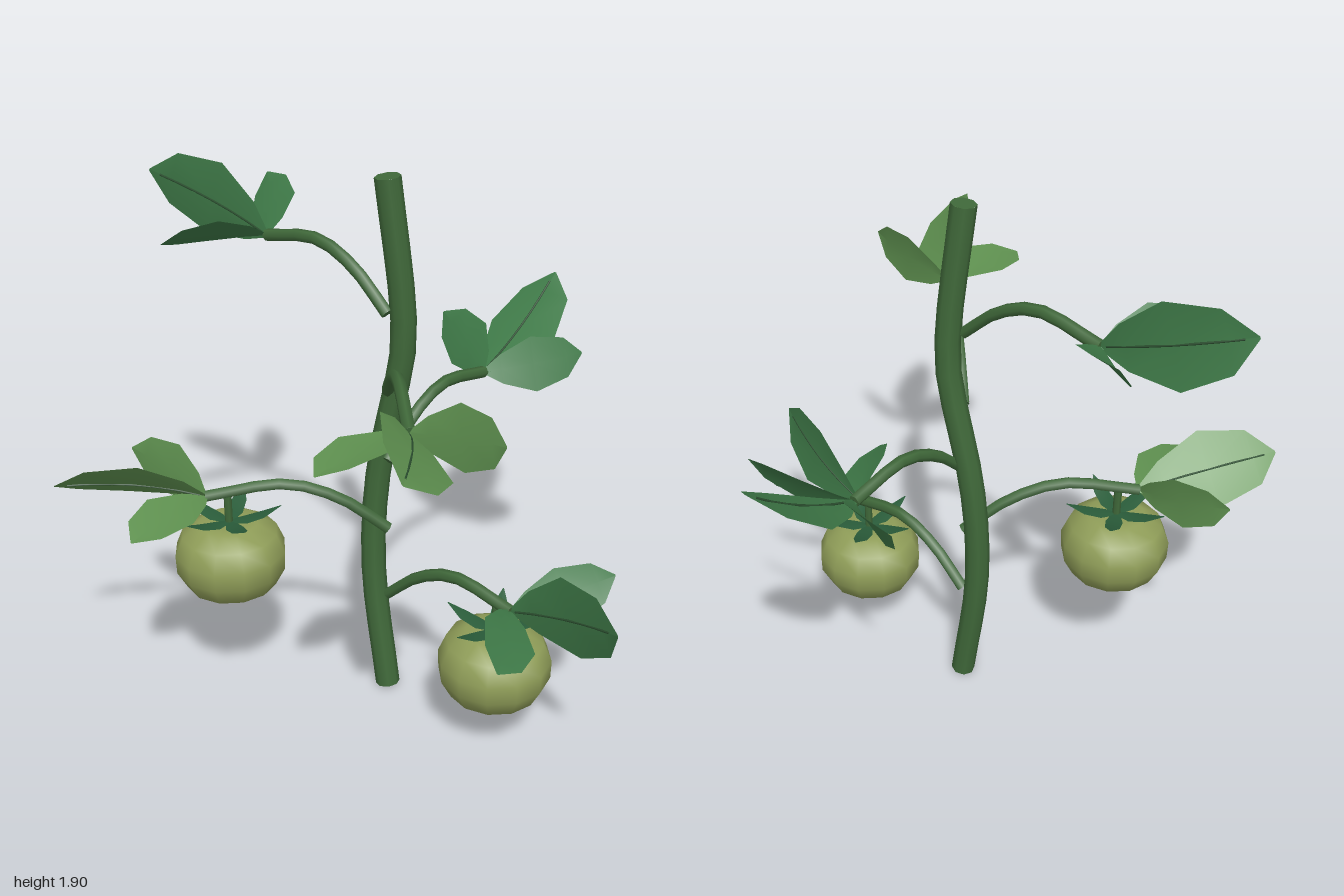
import * as THREE from 'three';

const V = (x, y, z) => new THREE.Vector3(x, y, z);
const UP = V(0, 1, 0);
const paint = (color, side = THREE.FrontSide) => new THREE.MeshStandardMaterial({ color, side });

const stemMat = paint(0x40693a);
const leafDark = paint(0x3f7a48, THREE.DoubleSide);
const leafLight = paint(0x5f9150, THREE.DoubleSide);
const ribMat = paint(0x2c5030);
const sepalMat = paint(0x2a5c3a, THREE.DoubleSide);
const fruitMat = paint(0x8f9d58);

function add(parent, name, geometry, material) {
  const mesh = new THREE.Mesh(geometry, material);
  mesh.name = name;
  parent.add(mesh);
  return mesh;
}

// Round stalk along a smooth path, closed with a disc at each end
function stalk(parent, name, points, radius, segments, sides) {
  const curve = new THREE.CatmullRomCurve3(points);
  add(parent, name, new THREE.TubeGeometry(curve, segments, radius, sides), stemMat);
  for (const t of [0, 1]) {
    const cap = add(parent, name + 'End', new THREE.CircleGeometry(radius, sides), stemMat);
    const out = curve.getTangent(t).multiplyScalar(t ? 1 : -1);
    cap.position.copy(curve.getPoint(t));
    cap.quaternion.setFromUnitVectors(V(0, 0, 1), out);
  }
}

// Blade growing along +y, rows of [y, half width], bent towards +z
function bladeGeometry(rows, bend, fold) {
  const geometry = new THREE.PlaneGeometry(2, 1, 2, rows.length - 1);
  const pos = geometry.attributes.position;
  const length = rows[rows.length - 1][0];
  for (let i = 0; i < pos.count; i++) {
    const [y, half] = rows[rows.length - 1 - Math.floor(i / 3)];
    const side = (i % 3) - 1;
    pos.setXYZ(i, side * half, y, bend * (y / length) ** 2 - Math.abs(side) * half * fold);
  }
  geometry.computeVertexNormals();
  return geometry;
}

const leafGeo = bladeGeometry([[0, 0.012], [0.09, 0.075], [0.25, 0.14], [0.41, 0.1], [0.49, 0.004]], 0.1, 0.12);
const sepalGeo = bladeGeometry([[0, 0.012], [0.06, 0.03], [0.12, 0.026], [0.18, 0.002]], 0.05, 0.1);
const ribGeo = new THREE.TubeGeometry(
  new THREE.QuadraticBezierCurve3(V(0, 0.02, 0.002), V(0, 0.23, 0.005), V(0, 0.45, 0.086)), 6, 0.004, 5);

// Three leaflets fanned out at the end of a branch
function leafCluster(parent, tip, heading, material) {
  const cluster = new THREE.Group();
  cluster.name = 'leafCluster';
  cluster.position.copy(tip);
  for (const [name, yaw, rise, size] of [['middleLeaf', 0, 0.345, 1], ['sideLeaf', 0.93, 0.18, 0.72], ['sideLeaf', -0.93, 0.18, 0.72]]) {
    const dir = heading.clone().applyAxisAngle(UP, yaw).setY(rise).normalize();
    const leaf = add(cluster, name, leafGeo, material);
    leaf.quaternion.setFromUnitVectors(UP, dir);
    leaf.scale.setScalar(size);
    if (!yaw) add(leaf, 'midrib', ribGeo, ribMat);
  }
  parent.add(cluster);
}

// Squat fruit with a star of sepals and a short stalk
function fruit(parent, x, y, z) {
  const group = new THREE.Group();
  group.name = 'fruit';
  group.position.set(x, y, z);
  const profile = [[0, -0.13], [0.09, -0.135], [0.155, -0.1], [0.19, -0.035], [0.192, 0.03],
    [0.165, 0.095], [0.1, 0.133], [0.04, 0.13], [0, 0.12]].map(p => new THREE.Vector2(...p));
  add(group, 'fruitBody', new THREE.LatheGeometry(profile, 12), fruitMat);
  stalk(group, 'fruitStalk', [V(0, 0.11, 0), V(0, 0.18, 0), V(0, 0.255, 0)], 0.014, 3, 6);
  for (let i = 0; i < 5; i++) {
    const pivot = new THREE.Group();
    pivot.name = 'sepalPivot';
    pivot.rotation.y = 0.5 + i * Math.PI * 2 / 5;
    const sepal = add(pivot, 'sepal', sepalGeo, sepalMat);
    sepal.position.y = 0.135;
    sepal.rotation.x = -Math.PI / 2;
    group.add(pivot);
  }
  parent.add(group);
}

export function createModel() {
  const plant = new THREE.Group();
  plant.name = 'fruitingPlant';

  stalk(plant, 'mainStem', [V(-0.005, 0.005, 0.06), V(-0.068, 0.48, 0.06), V(-0.055, 0.85, 0.045),
    V(0.03, 1.3, 0.018), V(0.035, 1.45, 0.022), V(0, 1.89, 0.055)], 0.043, 16, 8);

  // Branches: start height, end x, end z, leaf material
  const branches = [
    [0.385, 0.53, 0.06, leafDark],
    [0.65, -0.44, 0.49, leafLight],
    [0.91, -0.005, -0.47, leafDark],
    [1.17, 0.45, 0.485, leafLight],
    [1.44, -0.535, 0.06, leafDark],
  ];
  for (const [y, x, z, material] of branches) {
    const start = V(0, y, 0.06);
    const reach = V(x, y, z).sub(start);
    const path = [[0, 0], [0.27, 0.125], [0.56, 0.185], [1, 0.148]]
      .map(([t, rise]) => start.clone().addScaledVector(reach, t).setY(y + rise));
    stalk(plant, 'branch', path, 0.021, 8, 6);
    leafCluster(plant, path[3], reach.normalize(), material);
  }

  fruit(plant, 0.47, 0.302, 0.06);
  fruit(plant, -0.387, 0.565, 0.44);
  return plant;
}
